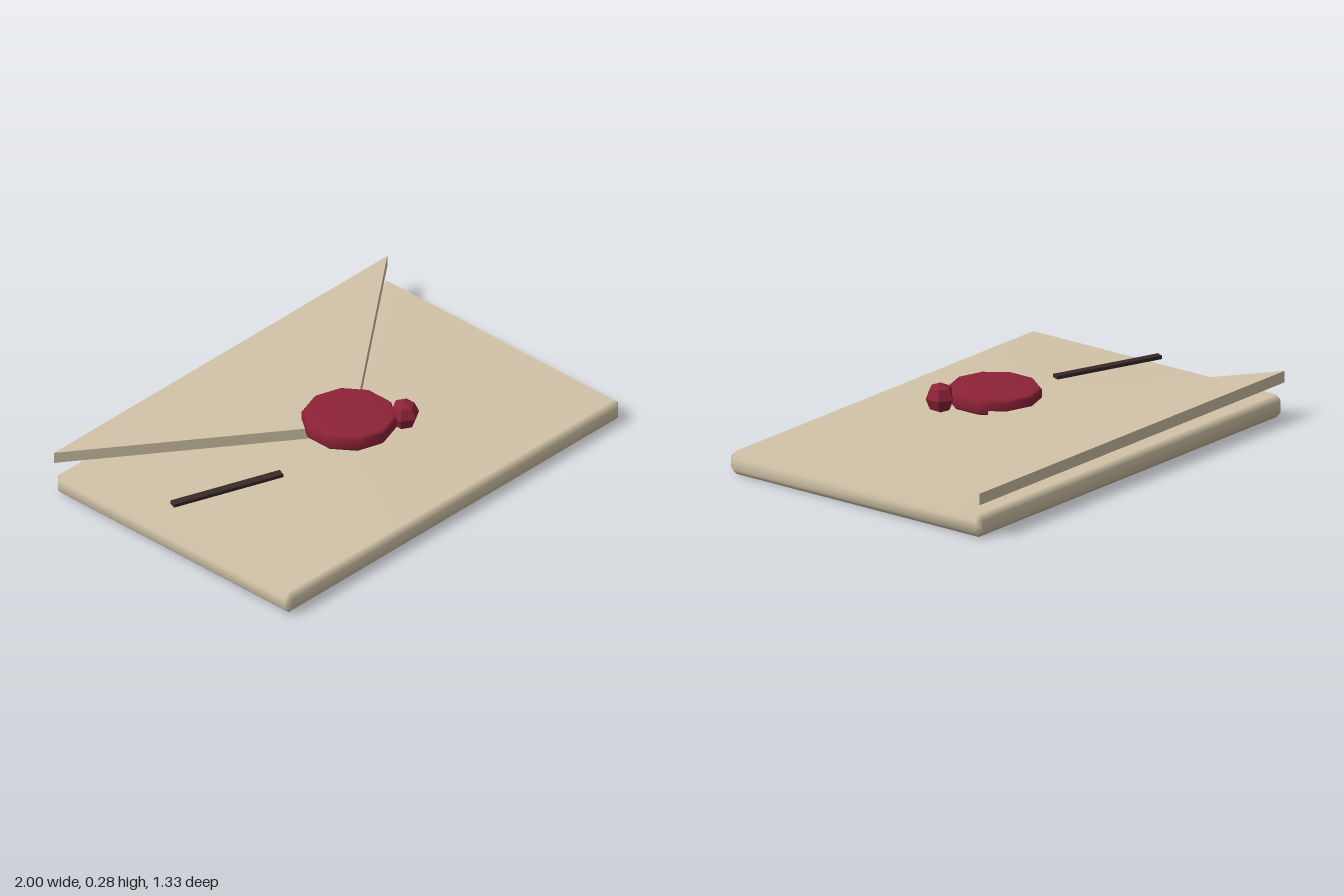
import * as THREE from 'three';
import { mergeVertices } from 'three/addons/utils/BufferGeometryUtils.js';
import { ConvexGeometry } from 'three/addons/geometries/ConvexGeometry.js';

// Shared vertices with area-weighted normals: big faces stay flat, bevels blend
function soften(geometry) {
  geometry.deleteAttribute('normal');
  geometry.deleteAttribute('uv');
  const merged = mergeVertices(geometry, 1e-4);
  merged.computeVertexNormals();
  return merged;
}

// Box with single-step bevels on every edge
function bevelledBox(w, h, d, b) {
  const points = [];
  for (const sx of [-1, 1]) for (const sy of [-1, 1]) for (const sz of [-1, 1]) {
    for (let axis = 0; axis < 3; axis++) {
      const half = [w / 2, h / 2, d / 2].map((v, i) => (i === axis ? v : v - b));
      points.push(new THREE.Vector3(sx * half[0], sy * half[1], sz * half[2]));
    }
  }
  return soften(new ConvexGeometry(points));
}

export function createModel() {
  const group = new THREE.Group();
  const material = (name, color) => {
    const m = new THREE.MeshStandardMaterial({ color });
    m.name = name;
    return m;
  };
  const paper = material('paper', 0xd2c4a8);
  const wax = material('wax', 0x8f2338);
  const ink = material('ink', 0x3a2a2a);

  const add = (name, geometry, mat, x, y, z) => {
    const mesh = new THREE.Mesh(geometry, mat);
    mesh.name = name;
    mesh.position.set(x, y, z);
    group.add(mesh);
    return mesh;
  };

  // Envelope body
  add('envelopeBody', bevelledBox(2, 0.1, 1.33, 0.025), paper, 0, 0.05, 0);

  // Triangular flap, hovering above the body
  const triangle = new THREE.Shape([
    new THREE.Vector2(-1, 0.665),
    new THREE.Vector2(0, -0.085),
    new THREE.Vector2(1, 0.665),
  ]);
  const flap = new THREE.ExtrudeGeometry(triangle, { depth: 0.05, bevelEnabled: false });
  flap.rotateX(-Math.PI / 2);
  add('flap', flap, paper, 0, 0.15, 0);

  // Ten-sided wax seal with bevelled rims
  const profile = [
    [0, -0.033], [0.186, -0.033], [0.1975, -0.02],
    [0.1975, 0.02], [0.186, 0.033], [0, 0.033],
  ].map(([r, y]) => new THREE.Vector2(r, y));
  add('waxSeal', soften(new THREE.LatheGeometry(profile, 10)), wax, 0, 0.213, 0.0625);

  // Faceted wax drip on the seal's edge
  const drip = new THREE.SphereGeometry(0.065, 6, 4).rotateY(Math.PI / 6).toNonIndexed();
  drip.computeVertexNormals();
  add('waxDrip', drip, wax, 0.183, 0.215, 0.2);

  // Slanted ink stroke
  const stroke = add('inkStroke', new THREE.BoxGeometry(0.503, 0.015, 0.035), ink, -0.667, 0.166, 0);
  stroke.rotation.y = -THREE.MathUtils.degToRad(20);

  return group;
}
